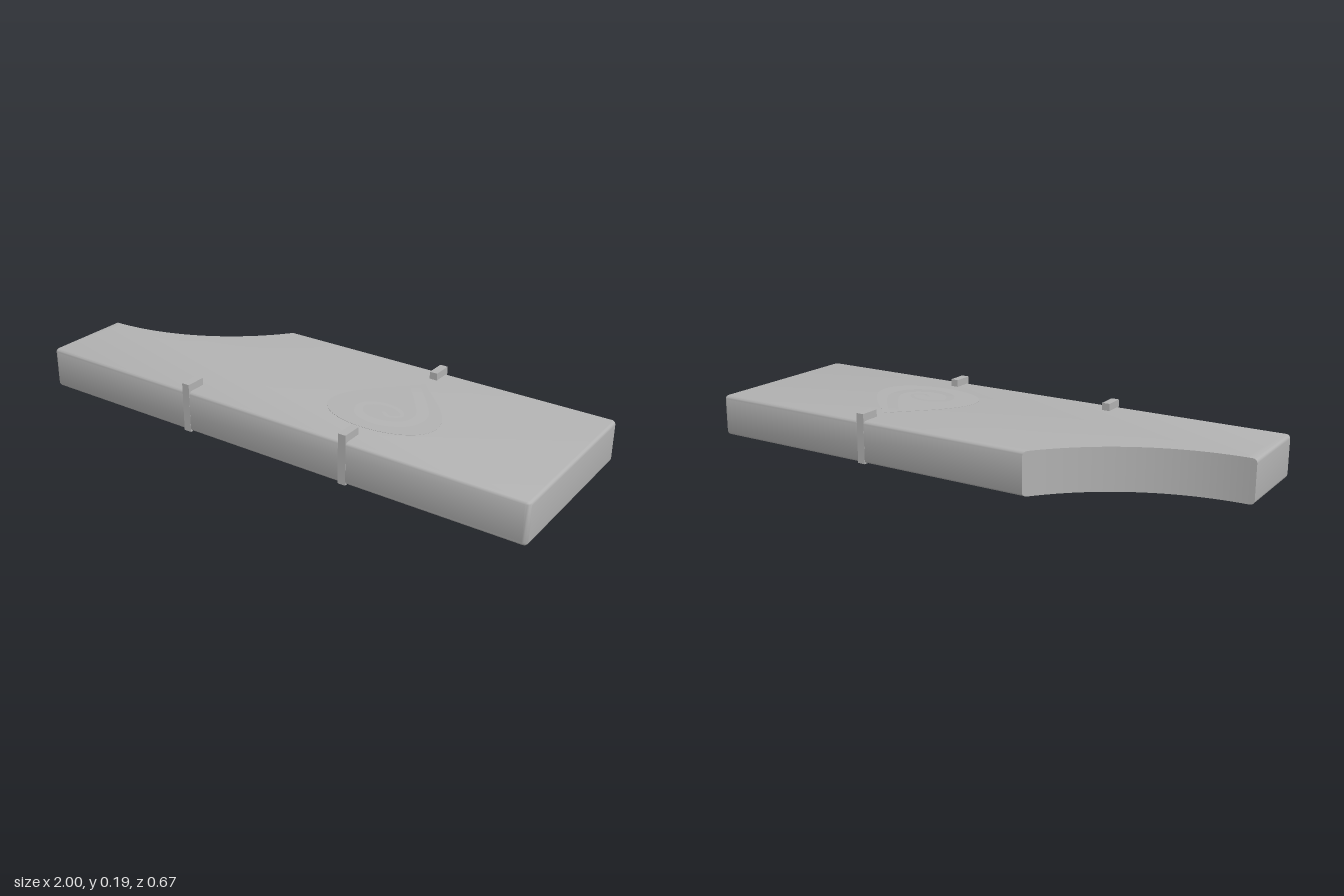
import * as THREE from 'three';
import { toCreasedNormals } from 'three/addons/utils/BufferGeometryUtils.js';

const HALF = 0.333, TOP = 0.158, BOTTOM = 0.002, FILLET = 0.015;
const ARC_R = 0.833; // concave cut, centred on (-1, -ARC_R) in plan

// Plan outline (x, z) with the straight sides inset by d; the concave cut stays put
function outline(d) {
  const pts = [];
  const a0 = Math.acos((ARC_R - HALF + d) / ARC_R), a1 = Math.asin(d / ARC_R);
  for (let i = 0; i <= 32; i++) {
    const a = a0 + (a1 - a0) * i / 32;
    pts.push(new THREE.Vector2(-1 + ARC_R * Math.sin(a), -ARC_R + ARC_R * Math.cos(a)));
  }
  const r = FILLET - d + 0.001;
  const corners = [[-1, 1, Math.PI], [1, 1, Math.PI / 2], [1, -1, 0]];
  for (const [sx, sz, start] of corners) {
    for (let i = 0; i <= 4; i++) {
      const a = start - i * Math.PI / 8;
      pts.push(new THREE.Vector2(
        sx * (1 - d - r) + r * Math.cos(a),
        sz * (HALF - d - r) + r * Math.sin(a)));
    }
  }
  return pts;
}

// Slab: outline loops stacked in y, with rounded top and bottom edges
function slabGeometry() {
  const layers = [];
  for (let i = 0; i <= 5; i++) {
    const a = i * Math.PI / 10;
    layers.push([FILLET * (1 - Math.sin(a)), BOTTOM + FILLET * (1 - Math.cos(a))]);
  }
  for (let i = 5; i >= 0; i--) layers.push([layers[i][0], TOP + BOTTOM - layers[i][1]]);
  const pos = [], index = [];
  for (const [d, y] of layers) for (const p of outline(d)) pos.push(p.x, y, p.y);

  const cap = outline(FILLET), n = cap.length, last = (layers.length - 1) * n;
  for (let k = 0; k < layers.length - 1; k++) {
    for (let i = 0; i < n; i++) {
      const a = k * n + i, b = k * n + (i + 1) % n;
      index.push(a, b, b + n, a, b + n, a + n);
    }
  }
  for (const [a, b, c] of THREE.ShapeUtils.triangulateShape(cap, [])) {
    const area = THREE.ShapeUtils.area([cap[a], cap[b], cap[c]]);
    const [p, q] = area < 0 ? [b, c] : [c, b];
    index.push(last + a, last + p, last + q, a, q, p);
  }
  const g = new THREE.BufferGeometry();
  g.setAttribute('position', new THREE.Float32BufferAttribute(pos, 3));
  g.setIndex(index);
  return toCreasedNormals(g, 0.6);
}

// Teardrop inlay with a spiral slot, almost flush with the top
function inlayGeometry() {
  const drop = new THREE.Shape();
  drop.moveTo(0.33, 0.21);
  drop.bezierCurveTo(0.39, 0.13, 0.54, 0.03, 0.54, -0.08);
  drop.bezierCurveTo(0.54, -0.25, 0.12, -0.25, 0.12, -0.08);
  drop.bezierCurveTo(0.12, 0.03, 0.27, 0.13, 0.33, 0.21);

  const path = new THREE.CatmullRomCurve3([
    [0.32, 0.155], [0.39, 0.07], [0.452, -0.03], [0.44, -0.1], [0.36, -0.145],
    [0.265, -0.125], [0.235, -0.06], [0.29, -0.02], [0.365, -0.03], [0.395, -0.065],
    [0.36, -0.09], [0.325, -0.07],
  ].map(([x, y]) => new THREE.Vector3(x, y, 0)));
  const left = [], right = [], steps = 70;
  for (let i = 0; i <= steps; i++) {
    const t = i / steps, p = path.getPoint(t), v = path.getTangent(t);
    const w = 0.006 + 0.02 * Math.sin(Math.PI * Math.min(1, 0.2 + t)) * (1 - t);
    left.push(new THREE.Vector2(p.x - v.y * w, p.y + v.x * w));
    right.unshift(new THREE.Vector2(p.x + v.y * w, p.y - v.x * w));
  }
  drop.holes.push(new THREE.Path([...left, ...right]));
  const g = new THREE.ExtrudeGeometry(drop, { depth: 0.0015, bevelEnabled: false, curveSegments: 24 });
  return g.rotateX(-Math.PI / 2).translate(0, TOP - 0.0005, 0);
}

export function createModel() {
  const group = new THREE.Group();
  const grey = new THREE.MeshStandardMaterial({ color: 0xb2b2b2 });
  grey.name = 'grey';
  const add = (name, geometry) => {
    const mesh = new THREE.Mesh(geometry, grey);
    mesh.name = name;
    group.add(mesh);
    return mesh;
  };

  add('slab', slabGeometry());
  add('dropInlay', inlayGeometry());

  // Edge tabs pass through the slab, flush with its sides
  const tab = new THREE.BoxGeometry(0.03, 0.185, 0.0765);
  const tabs = [['frontRightTab', -1, 1], ['frontLeftTab', 1, 1], ['backLeftTab', 1, -1]];
  for (const [name, sx, sz] of tabs) {
    add(name, tab).position.set(sx * 0.333, 0.0925, sz * 0.2952);
  }
  return group;
}
